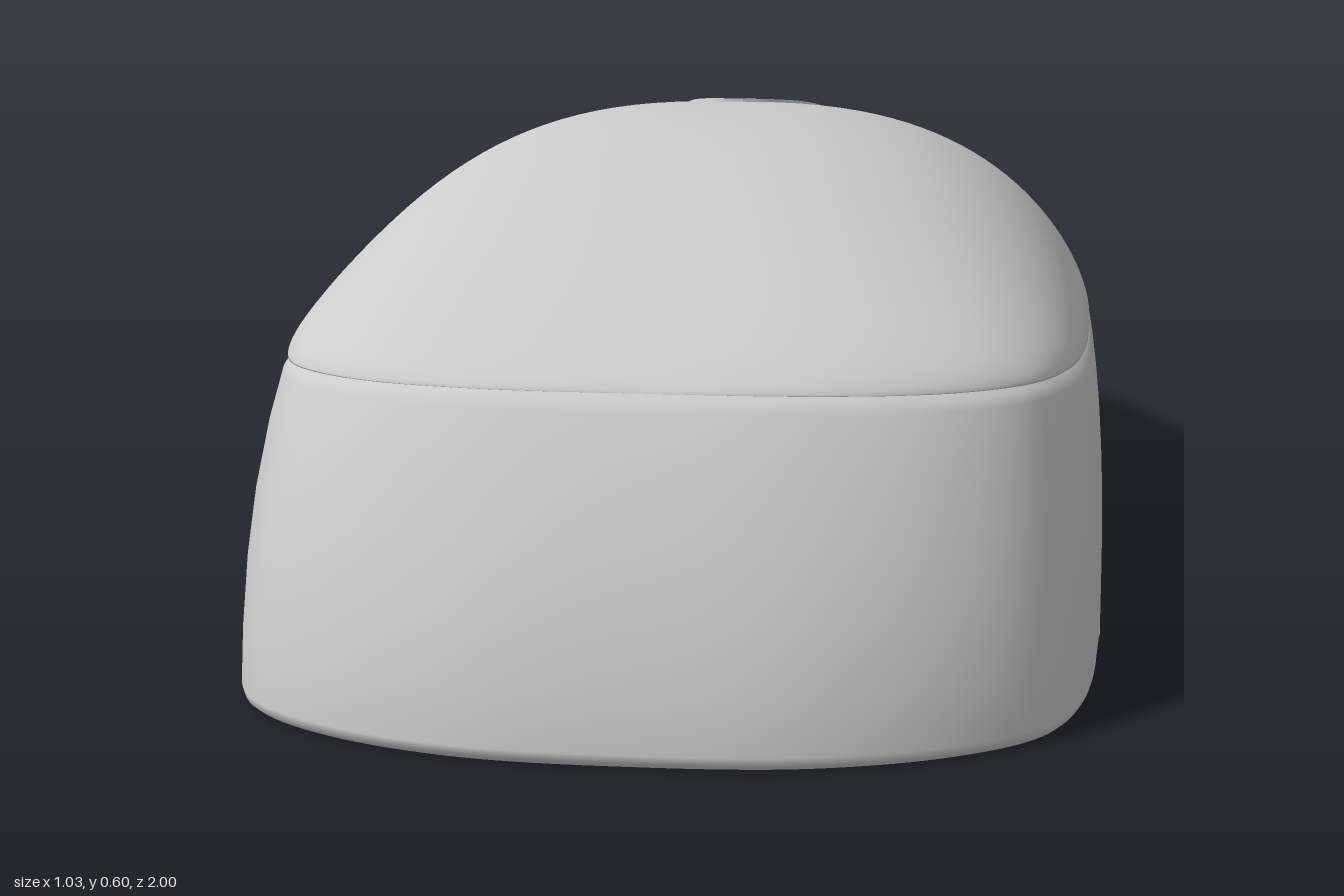
import * as THREE from 'three';

const material = new THREE.MeshStandardMaterial({ color: 0xcccccc, side: THREE.DoubleSide });
const { smoothstep, clamp } = THREE.MathUtils;

// Half outline from back centre to front centre:
// base x, base z, seam x, seam y, seam z, crown y
const stations = [
  [0, 1.0, 0, 0.388, 0.835, 0.388], [0.2, 0.985, 0.2, 0.386, 0.82, 0.402],
  [0.36, 0.925, 0.34, 0.382, 0.77, 0.432], [0.46, 0.84, 0.43, 0.378, 0.69, 0.469],
  [0.5, 0.72, 0.472, 0.371, 0.57, 0.513], [0.514, 0.5, 0.49, 0.361, 0.4, 0.558],
  [0.515, 0.2, 0.493, 0.343, 0.1, 0.599], [0.505, -0.1, 0.487, 0.317, -0.15, 0.588],
  [0.48, -0.4, 0.467, 0.266, -0.42, 0.527], [0.445, -0.69, 0.437, 0.196, -0.71, 0.387],
  [0.41, -0.88, 0.408, 0.154, -0.89, 0.255], [0.363, -0.943, 0.367, 0.143, -0.954, 0.205],
  [0.25, -0.97, 0.25, 0.14, -0.985, 0.17], [0, -0.98, 0, 0.14, -0.996, 0.14],
];

// Closed curve mirrored in x; t = 0 is the back, t = 0.5 the front
function mirroredCurve(pick) {
  const half = stations.map((s) => new THREE.Vector3(...pick(s)));
  const other = half.slice(1, -1).reverse().map((p) => new THREE.Vector3(-p.x, p.y, p.z));
  return new THREE.CatmullRomCurve3([...half, ...other], true);
}
const base = mirroredCurve((s) => [s[0], 0, s[1]]);
const seam = mirroredCurve((s) => [s[2], s[3], s[4]]);
const crown = mirroredCurve((s) => [s[2], s[5], s[4]]);

// Parameter on the +x half where a curve reaches a given z
function findT(curve, z) {
  let lo = 0, hi = 0.5;
  for (let i = 0; i < 26; i++) {
    const mid = (lo + hi) / 2;
    if (curve.getPoint(mid).z > z) lo = mid; else hi = mid;
  }
  return (lo + hi) / 2;
}

// Surface from a grid of points
function grid(rows, cols, point, closed = false, skip = () => false) {
  const pos = [], index = [], pts = [];
  for (let i = 0; i < rows; i++) {
    for (let j = 0; j < cols; j++) {
      const p = point(i, j);
      pts.push(p);
      pos.push(p.x, p.y, p.z);
    }
  }
  for (let i = 0; i < rows - 1; i++) {
    for (let j = 0; j < (closed ? cols : cols - 1); j++) {
      const k = (j + 1) % cols;
      const a = i * cols + j, b = a + cols, c = i * cols + k, d = c + cols;
      if (!skip(pts[a], pts[d])) index.push(a, c, b, c, d, b);
    }
  }
  const geo = new THREE.BufferGeometry();
  geo.setAttribute('position', new THREE.Float32BufferAttribute(pos, 3));
  geo.setIndex(index);
  geo.computeVertexNormals();
  return geo;
}

// Move a point inward, square to the outline
function inset(p, t, d) {
  const g = base.getTangent(t);
  const l = Math.hypot(g.x, g.z) || 1;
  p.x += (g.z / l) * d;
  p.z -= (g.x / l) * d;
  return p;
}

// Outer side wall at height fraction v: convex on the flanks, leaning at the back, full at the nose
function wallPoint(t, v, d) {
  const p = base.getPoint(t), s = seam.getPoint(t);
  const y = s.y * v;
  const nose = 0.013 * Math.sqrt(Math.max(0, Math.sin(Math.PI * v))) * smoothstep(-p.z, 0.75, 0.95);
  p.lerp(s, Math.pow(v, 1.6 + 1.8 * smoothstep(-p.z, -0.85, -0.5)));
  p.y = y;
  p.z -= nose;
  return inset(p, t, d);
}

// Height of the arched lower side panel
const panelStart = 0.42;
function panelHeight(t) {
  const d = Math.max(0, panelStart - base.getPoint(t).z);
  if (d < 0.57) return 0.193 * Math.sqrt(Math.max(0, 1 - Math.pow(1 - d / 0.57, 2.5)));
  return 0.065 + 0.064 * (1 + Math.cos((Math.PI * (d - 0.57)) / 0.9));
}

// The panel tucks under towards its bottom edge
function panelPoint(t, f, d) {
  const v0 = panelHeight(t) / seam.getPoint(t).y;
  const tuck = 0.02 * smoothstep(-base.getPoint(t).z, -panelStart, -0.3);
  return wallPoint(t, v0 * f, d + tuck * Math.pow(1 - f, 2.5));
}

// Domed top: t along the length, a from -90 to 90 degrees across, fuller towards the front
const powX = 2.65;
const powY = (z) => 1.5 + 0.4 * smoothstep(-z, 0, 0.9);
function topPoint(t, a) {
  const s = seam.getPoint(t), c = crown.getPoint(t), sn = Math.sin(a);
  const x = s.x * Math.sign(sn) * Math.pow(Math.abs(sn), 2 / powX);
  const y = s.y + (c.y - s.y) * Math.pow(Math.max(0, Math.cos(a)), 2 / powY(s.z));
  return new THREE.Vector3(x, y, s.z);
}
function topHeight(x, z) {
  const t = findT(seam, z), s = seam.getPoint(t), c = crown.getPoint(t);
  const f = Math.min(1, Math.abs(x / s.x));
  return s.y + (c.y - s.y) * Math.pow(1 - Math.pow(f, powX), 1 / powY(z));
}

export function createModel() {
  const group = new THREE.Group();
  const add = (name, geo) => {
    const mesh = new THREE.Mesh(geo, material);
    mesh.name = name;
    group.add(mesh);
    return mesh;
  };

  // Samples round the outline, denser where the panel arch begins
  const tP = findT(base, panelStart), half = [];
  for (let k = 0; k < 40; k++) half.push((tP * k) / 40);
  for (let k = 0; k <= 100; k++) half.push(tP + (0.5 - tP) * Math.pow(k / 100, 1.6));
  const mirror = (list) => list.reverse().map((t) => 1 - t);
  const ring = [...half, ...mirror(half.slice(1, -1))];
  const panelRing = [...half.slice(40), ...mirror(half.slice(40, -1))];

  // Height fraction and edge rounding for the wall strips
  const rows = [[0, 0.01], [0.015, 0.003], [0.04, 0], [0.2, 0], [0.4, 0], [0.6, 0],
    [0.8, 0], [0.95, 0], [0.98, 0.004], [1, 0.014]];
  add('bodyWall', grid(rows.length, ring.length, (i, j) => {
    const t = ring[j], v0 = panelHeight(t) / seam.getPoint(t).y;
    return wallPoint(t, v0 + (1 - v0) * rows[i][0], rows[i][1]);
  }, true));
  add('lowerSidePanel', grid(rows.length, panelRing.length, (i, j) =>
    panelPoint(panelRing[j], ...rows[i])));

  // Top shell with tucked edges and an opening under the centre strip
  const across = 64;
  add('topShell', grid(half.length, across + 3, (i, j) => {
    const t = half[i], k = clamp(j - 1, 0, across);
    const p = topPoint(t, (k / across - 0.5) * Math.PI);
    if (j === 0) return inset(p, 1 - t, 0.016);
    return j === across + 2 ? inset(p, t, 0.016) : p;
  }, false, (a, d) => {
    const x = (a.x + d.x) / 2 - 0.01, z = (a.z + d.z) / 2;
    return Math.abs(x) < 0.075 && z < -0.28 && z > -0.92;
  }));

  // Slightly raised centre strip with a dimple round the wheel
  const stripEdge = new THREE.SplineCurve([[-0.12, 0], [-0.135, 0.038], [-0.2, 0.076], [-0.3, 0.106],
    [-0.42, 0.127], [-0.6, 0.138], [-0.8, 0.125], [-0.989, 0.111]].map((p) => new THREE.Vector2(...p)));
  const sr = 100, sc = 40;
  add('centreStrip', grid(sr + 1, sc + 1, (i, j) => {
    const e = stripEdge.getPoint(Math.pow(i / sr, 1.4)), u = (j / sc) * 2 - 1;
    const x = 0.01 + e.y * u, z = e.x;
    const r = Math.abs((x - 0.01) / 0.075) + Math.pow(Math.abs((z + 0.61) / 0.18), 2);
    const dimple = 0.035 * (1 - smoothstep(r, 0.4, 1));
    const edge = j === 0 || j === sc || i === 0 || i === sr;
    return new THREE.Vector3(x, topHeight(x, z) + (edge ? -0.012 : 0.004) - dimple, z);
  }));

  // Ribbed barrel wheel, only the exposed arc
  const profile = [];
  for (let k = 0; k <= 10; k++) {
    const f = k / 5 - 1;
    profile.push(new THREE.Vector2(0.157 - 0.045 * f * f, 0.052 * f));
  }
  const wheel = new THREE.LatheGeometry(profile, 65, 2.07 - 1.0, 2.0);
  const wp = wheel.attributes.position;
  for (let i = 0; i < wp.count; i++) {
    const scale = Math.floor(i / profile.length) % 5 < 3 ? 1.06 : 1;
    wp.setXYZ(i, wp.getX(i) * scale, wp.getY(i), wp.getZ(i) * scale);
  }
  wheel.computeVertexNormals();
  wheel.rotateZ(Math.PI / 2);
  add('scrollWheel', wheel).position.set(0.01, 0.332, -0.555);

  // Flat bottom rim, inner wall and ceiling of the hollow underside
  const innerBase = (t) => base.getPoint(t).multiply(new THREE.Vector3(0.81, 1, 0.81));
  const inner = (p) => new THREE.Vector3(p.x * 0.86, p.y - 0.06, p.z * 0.85);
  add('bottomRim', grid(2, ring.length, (i, j) => {
    const t = ring[j];
    if (i === 0) return innerBase(t);
    return base.getPoint(t).z > panelStart ? wallPoint(t, 0, 0.01) : panelPoint(t, 0, 0.01);
  }, true));
  add('innerWall', grid(7, ring.length, (i, j) =>
    inner(seam.getPoint(ring[j])).lerp(innerBase(ring[j]), i / 6), true));
  add('innerCeiling', grid(half.length, 41, (i, j) =>
    inner(topPoint(half[i], (0.5 - j / 40) * Math.PI))));

  return group;
}
